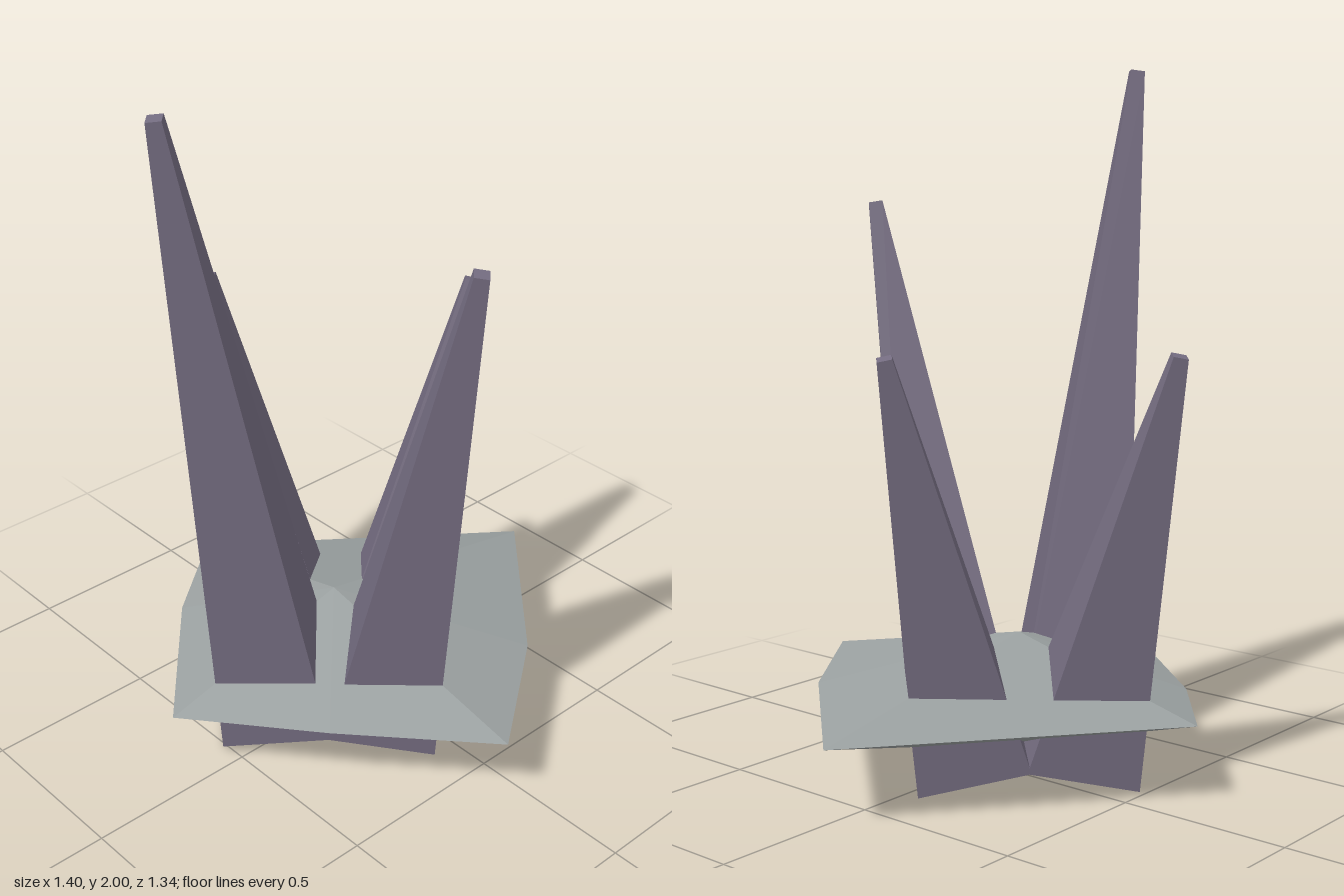
import * as THREE from 'three';

const crystal = new THREE.MeshStandardMaterial({ color: 0x746c80, flatShading: true });
const stone = new THREE.MeshStandardMaterial({ color: 0x9aa0a0, flatShading: true });
const CX = -0.09, CZ = -0.05; // where the spikes gather

// Tapered four-sided spike leaning from its base centre to its tip centre
function spike(name, base, tip) {
  const a = new THREE.Vector3(...base), b = new THREE.Vector3(...tip);
  const axis = b.clone().sub(a);
  const mesh = new THREE.Mesh(new THREE.CylinderGeometry(0.029, 0.225, axis.length(), 4), crystal);
  mesh.name = name;
  mesh.position.copy(a).add(b).multiplyScalar(0.5);
  mesh.quaternion.setFromUnitVectors(new THREE.Vector3(0, 1, 0), axis.normalize());
  return mesh;
}

// Flat rock: an uneven rim joined to a point above and a point below
function rock() {
  const rim = [
    [-0.09, -0.67], [0.305, -0.36], [0.70, -0.05], [0.28, 0.40],
    [-0.09, 0.67], [-0.42, 0.30], [-0.70, -0.05], [-0.36, -0.45],
  ].map(([x, z]) => [x, 0.23, z]);
  const top = [CX, 0.385, CZ], bottom = [CX, 0.05, CZ];
  const corners = [];
  rim.forEach((p, i) => {
    const q = rim[(i + 1) % rim.length];
    corners.push(...top, ...q, ...p, ...bottom, ...p, ...q);
  });
  const geo = new THREE.BufferGeometry();
  geo.setAttribute('position', new THREE.Float32BufferAttribute(corners, 3));
  geo.computeVertexNormals();
  const mesh = new THREE.Mesh(geo, stone);
  mesh.name = 'baseRock';
  return mesh;
}

export function createModel() {
  const group = new THREE.Group();
  group.name = 'crystalCluster';
  group.add(rock());

  // Four spikes of differing height splay outwards
  const r = 0.217, y = 0.065;
  group.add(
    spike('rightSpike', [CX - r, y, CZ], [-0.638, 1.995, CZ]),
    spike('leftSpike', [CX + r, y, CZ], [0.463, 1.222, CZ]),
    spike('frontSpike', [CX, y, CZ + r], [CX, 1.608, 0.51]),
    spike('backSpike', [CX, y, CZ - r], [CX, 1.222, -0.595]),
  );
  return group;
}
